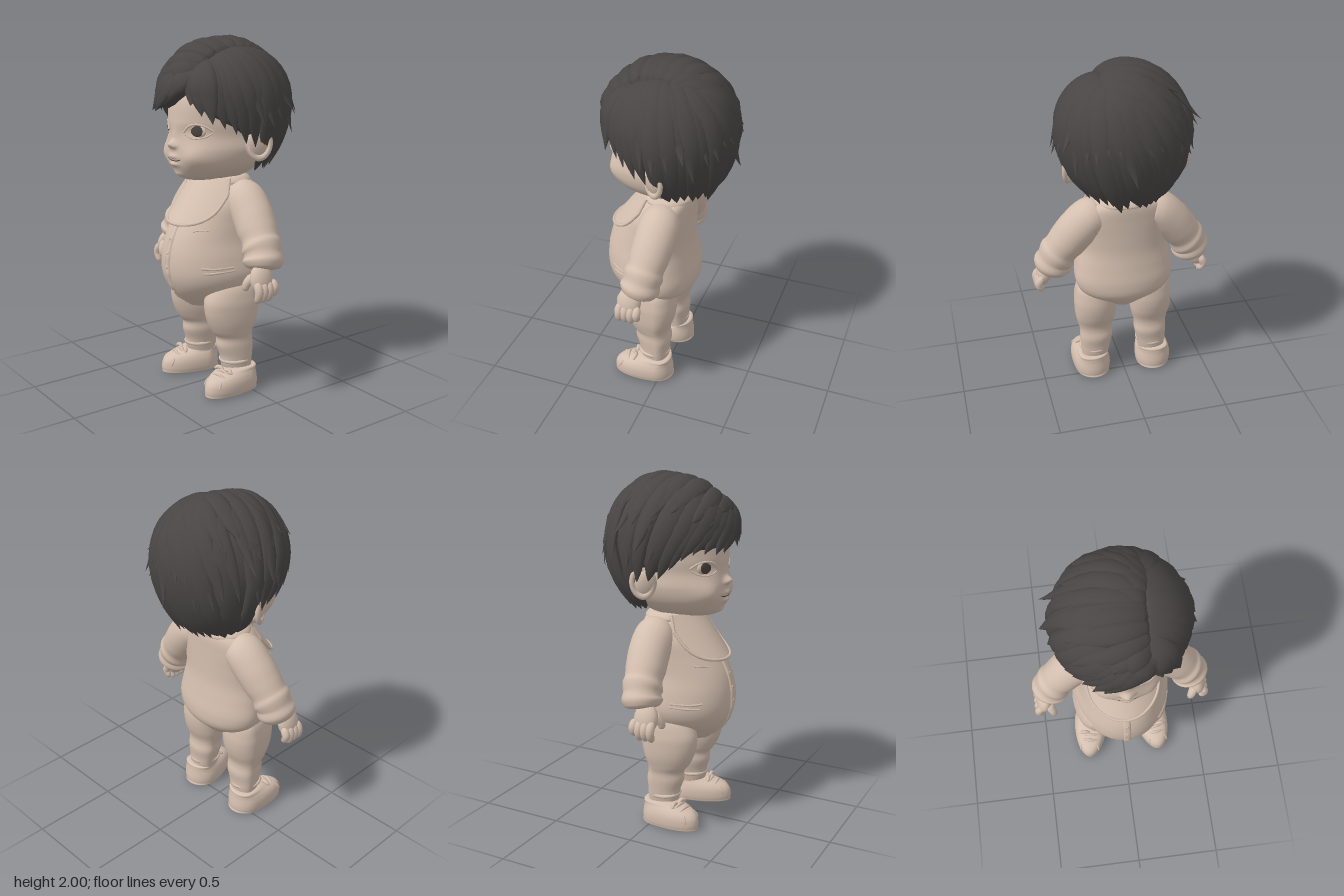
import * as THREE from 'three';
import { mergeVertices } from 'three/addons/utils/BufferGeometryUtils.js';

const V = (x, y, z) => new THREE.Vector3(x, y, z);
const { sin, cos, PI, sqrt, abs, min, max, exp } = Math;
const mat = (name, color, side = THREE.FrontSide) => {
  const m = new THREE.MeshStandardMaterial({ color, side });
  m.name = name;
  return m;
};

// Grid of points f(u, v) with smooth normals
function grid(nu, nv, f) {
  const pos = [], idx = [];
  for (let j = 0; j <= nv; j++) for (let i = 0; i <= nu; i++) pos.push(...f(i / nu, j / nv).toArray());
  for (let j = 0; j < nv; j++) for (let i = 0; i < nu; i++) {
    const a = j * (nu + 1) + i, d = a + nu + 1;
    idx.push(a, a + 1, d + 1, a, d + 1, d);
  }
  let g = new THREE.BufferGeometry();
  g.setAttribute('position', new THREE.Float32BufferAttribute(pos, 3));
  g.setIndex(idx);
  g = mergeVertices(g, 1e-5);
  g.computeVertexNormals();
  return g;
}

// Upright loft; rows run upward: [y, cx, halfWidth, zFront, zBack]; bump pushes the front out
function loft(rows, nu = 40, nv = 60, bump = () => 0) {
  const A = new THREE.CatmullRomCurve3(rows.map(r => V(r[0], r[1], r[2])), false, 'catmullrom', 0.5);
  const B = new THREE.CatmullRomCurve3(rows.map(r => V(r[3], r[4], 0)), false, 'catmullrom', 0.5);
  return grid(nu, nv, (u, v) => {
    const a = A.getPoint(v), b = B.getPoint(v), t = u * 2 * PI;
    const cz = b.x * 0.3 + b.y * 0.7, rz = cos(t) > 0 ? b.x - cz : cz - b.y;
    const x = a.y + a.z * sin(t);
    return V(x, a.x, cz + rz * cos(t) + (cos(t) > 0 ? bump(x, a.x) : 0));
  });
}

// Tube of changing radius with rounded ends; points are [x, y, z, r]
function sweep(pts, nu = 16, nv = 36) {
  const c = new THREE.CatmullRomCurve3(pts.map(p => V(p[0], p[1], p[2])));
  const R = new THREE.SplineCurve(pts.map((p, i) => new THREE.Vector2(i, p[3])));
  const fr = c.computeFrenetFrames(nv);
  return grid(nu, nv, (u, v) => {
    const k = Math.round(v * nv), e = min(v, 1 - v) * nv / 3;
    const r = R.getPoint(v).y * (e < 1 ? sqrt(max(0.0004, 1 - (1 - e) ** 2)) : 1), t = u * 2 * PI;
    return c.getPoint(v).addScaledVector(fr.normals[k], r * cos(t)).addScaledVector(fr.binormals[k], r * sin(t));
  });
}

const table = (rows, x, col) => {
  let i = 0;
  while (i < rows.length - 2 && rows[i + 1][0] < x) i++;
  const t = min(1, max(0, (x - rows[i][0]) / (rows[i + 1][0] - rows[i][0])));
  return rows[i][col] + t * (rows[i + 1][col] - rows[i][col]);
};

const bodyRows = [[0.465, 0, 0.01, 0.13, 0.05], [0.485, 0, 0.06, 0.22, -0.02], [0.55, 0, 0.16, 0.31, -0.09],
  [0.62, 0, 0.255, 0.36, -0.15], [0.7, 0, 0.29, 0.385, -0.16], [0.8, 0, 0.278, 0.385, -0.145],
  [0.9, 0, 0.255, 0.36, -0.13], [1, 0, 0.25, 0.31, -0.127], [1.1, 0, 0.25, 0.25, -0.127],
  [1.18, 0, 0.21, 0.19, -0.127], [1.23, 0, 0.13, 0.15, -0.115], [1.27, 0, 0.1, 0.13, -0.08]];
const headRows = [[1.215, 0, 0.01, 0.15, 0.1], [1.225, 0, 0.1, 0.25, -0.05], [1.26, 0, 0.18, 0.305, -0.12],
  [1.32, 0, 0.245, 0.338, -0.17], [1.4, 0, 0.278, 0.343, -0.22], [1.48, 0, 0.275, 0.333, -0.25],
  [1.56, 0, 0.282, 0.335, -0.27], [1.7, 0, 0.28, 0.31, -0.27], [1.85, 0, 0.18, 0.2, -0.2], [1.92, 0, 0.02, 0.02, -0.02]];
// Face relief, mirrored: [x, y, spreadX, spreadY, height] for cheek, nose, bridge, nostril, socket, lips, chin
const relief = [[0.15, 1.365, 0.065, 0.06, 0.026], [0, 1.43, 0.024, 0.02, 0.034], [0, 1.475, 0.025, 0.035, 0.008],
  [0.026, 1.42, 0.012, 0.012, 0.012], [0.125, 1.51, 0.05, 0.028, -0.01], [0, 1.362, 0.04, 0.012, 0.011],
  [0, 1.318, 0.035, 0.012, 0.014], [0, 1.255, 0.045, 0.02, 0.014]];
const faceBump = (x, y) => relief.reduce((s, [cx, cy, sx, sy, h]) =>
  s + h * exp(-(((abs(x) - cx) / sx) ** 2) - ((y - cy) / sy) ** 2), 0);
const frontZ = (rows, x, y) => {
  const f = table(rows, y, 3), cz = f * 0.3 + table(rows, y, 4) * 0.7;
  return cz + (f - cz) * sqrt(max(0, 1 - (x / table(rows, y, 2)) ** 2));
};
const bodyZ = (x, y) => frontZ(bodyRows, x, y);
const faceZ = (x, y) => frontZ(headRows, x, y) + faceBump(x, y);

// Hairline height by angle from the front, in degrees towards +x
const hairline = [[-180, 1.31], [-104, 1.31], [-97, 1.47], [-88, 1.5], [-80, 1.46], [-66, 1.54], [-52, 1.61], [-15, 1.61],
  [0, 1.64], [19, 1.74], [28, 1.67], [38, 1.61], [50, 1.57], [65, 1.52], [78, 1.46], [88, 1.48], [97, 1.47], [104, 1.31], [180, 1.31]];
const HC = 1.62;
const hairDir = (deg, y) => {
  const dy = (y - HC) / (y > HC ? 0.348 : 0.46), r = sqrt(max(0, 1 - dy * dy)), a = deg * PI / 180;
  return V(r * sin(a), dy, r * cos(a));
};
const hairPoint = (d, k) => {
  const low = d.y < 0 ? 1 - 0.25 * d.y * d.y : 1;
  return V(d.x * 0.355 * k * low, HC + d.y * (d.y > 0 ? 0.348 : 0.46) * k, d.z * (d.z > 0 ? 0.378 : 0.345) * k);
};

// Pointed lock combed over the head from one direction to another, its tip curling out
function lock(d0, d1, width, flare, lift = 1) {
  const at = t => hairPoint(d0.clone().lerp(d1, t).normalize(), 0.94 * lift + 0.08 * sin(PI * min(t * 1.1, 0.72)) + flare * max(0, t) ** 6);
  return grid(10, 20, (u, v) => {
    const p = at(v), T = at(v + 0.01).sub(at(v - 0.01)).normalize();
    const n = V(p.x, p.y - HC, p.z).normalize();
    n.addScaledVector(T, -n.dot(T)).normalize();
    const b = T.clone().cross(n), a = u * 2 * PI;
    const w = width * (0.45 + 0.55 * sin(PI * 0.7 * v)) * max(0.004, 1 - v ** 3) * (v === 0 ? 0.01 : 1);
    return p.addScaledVector(n, 0.45 * w * cos(a)).addScaledVector(b, w * sin(a));
  });
}

export function createModel() {
  const root = new THREE.Group();
  root.name = 'toddlerFigure';
  const skin = mat('skin and cloth', 0xd4bfaf), cloth = mat('cloth panels', 0xd4bfaf, THREE.DoubleSide);
  const hair = mat('dark hair', 0x494545, THREE.DoubleSide), dark = mat('eye brown', 0x4a423e);
  const add = (name, geo, m = skin, p = [0, 0, 0], s = [1, 1, 1], r = [0, 0, 0]) => {
    const o = new THREE.Mesh(geo, m);
    o.name = name;
    o.position.set(...p); o.scale.set(...s); o.rotation.set(...r);
    root.add(o);
  };
  const ball = new THREE.SphereGeometry(1, 20, 14);
  const tube = (pts, r, n = 20) => new THREE.TubeGeometry(new THREE.CatmullRomCurve3(pts), n, r, 7);

  add('romperBody', loft(bodyRows, 56, 80));
  add('head', loft(headRows, 144, 110, faceBump));

  // Bib, its hem and the neck collar
  const bibAt = (u, v) => {
    const x = u * (0.175 + 0.03 * min(1, v * 3)) * (1 - v ** 6) ** 0.4, y = 1.235 - 0.25 * v;
    return V(x, y, 0.35 - (y - 0.985) * 0.75 - 2.4 * x * x);
  };
  add('bib', grid(24, 30, (u, v) => bibAt(u * 2 - 1, 1 - v)), cloth);
  const hem = [];
  for (let i = 0; i <= 14; i++) hem.push(bibAt(-1, sin(i / 14 * PI / 2)));
  for (let i = 13; i >= 0; i--) hem.push(bibAt(1, sin(i / 14 * PI / 2)));
  add('bibHem', tube(hem, 0.009, 80));
  add('collar', grid(48, 12, (u, v) => {
    const a = u * 2 * PI, t = v * 2 * PI, r = 0.012 + 0.024 * cos(t);
    return V((0.15 + r) * sin(a), 1.226 + 0.014 * sin(t) - 0.6 * r, 0.012 + (0.113 + r) * cos(a));
  }));

  // Button strip down the belly
  add('buttonStrip', grid(6, 40, (u, v) => {
    const x = (u * 2 - 1) * 0.026, y = 0.485 + v * 0.51;
    return V(x, y, bodyZ(x, y) + (u === 0 || u === 1 ? -0.008 : 0.009));
  }), cloth);
  for (const y of [0.9, 0.82, 0.74, 0.59]) add('button', ball, skin, [0, y, bodyZ(0, y) + 0.009], [0.009, 0.009, 0.004]);

  for (const s of [1, -1]) {
    const side = s > 0 ? 'left' : 'right';
    const arc = (pts, zAt, r) => tube(pts.map(([x, y]) => V(s * x, y, zAt(x, y) + 0.002)), r);
    const flip = rows => rows.map(([x, ...rest]) => [s * x, ...rest]);

    // Sleeve with soft folds and a gathered cuff
    add(side + 'Sleeve', sweep(flip([[0.12, 1.13, -0.005, 0.095], [0.2, 1.105, 0, 0.116], [0.275, 1.035, 0.005, 0.116], [0.33, 0.965, 0.015, 0.112],
      [0.368, 0.915, 0.022, 0.104], [0.388, 0.88, 0.028, 0.113], [0.403, 0.845, 0.033, 0.105], [0.415, 0.81, 0.04, 0.113],
      [0.427, 0.765, 0.05, 0.088]]), 28, 60));
    // Hand
    add(side + 'Palm', ball, skin, [s * 0.462, 0.73, 0.088], [0.045, 0.085, 0.07], [0, 0, s * 0.25]);
    for (let i = 0; i < 4; i++) {
      const z = 0.03 + i * 0.035, l = i === 0 ? 0.02 : 0;
      add(side + 'Finger', sweep(flip([[0.478, 0.73, z, 0.024], [0.505, 0.675, z, 0.024], [0.497, 0.638 + l, z, 0.021],
        [0.476, 0.612 + l, z, 0.015]]), 10, 14));
    }
    add(side + 'Thumb', sweep(flip([[0.442, 0.75, 0.12, 0.03], [0.42, 0.71, 0.152, 0.025], [0.41, 0.665, 0.16, 0.018]]), 10, 14));

    // Chubby leg, sock and shoe
    add(side + 'Leg', loft([[0.1, 0.178, 0.075, 0.12, -0.03], [0.16, 0.178, 0.083, 0.14, -0.04], [0.21, 0.175, 0.09, 0.145, -0.042],
      [0.27, 0.17, 0.098, 0.165, -0.05], [0.32, 0.17, 0.097, 0.165, -0.042], [0.36, 0.17, 0.106, 0.195, -0.045], [0.42, 0.17, 0.12, 0.225, -0.066],
      [0.49, 0.17, 0.125, 0.243, -0.08], [0.56, 0.168, 0.124, 0.24, -0.08], [0.65, 0.155, 0.11, 0.19, -0.06],
      [0.71, 0.15, 0.01, 0.1, 0.02]].map(r => [r[0], s * r[1], ...r.slice(2)]), 36, 50));
    add(side + 'SockFold', new THREE.TorusGeometry(0.08, 0.011, 8, 32), skin, [s * 0.178, 0.178, 0.05], [1, 1.06, 1], [PI / 2, 0, 0]);
    const shoe = new THREE.Group();
    shoe.name = side + 'Shoe';
    shoe.position.set(s * 0.192, 0, 0.03);
    shoe.rotation.y = s * 0.16;
    const part = (name, geo) => { const m = new THREE.Mesh(geo, skin); m.name = name; shoe.add(m); };
    part('upper', loft([[0, 0, 0.0005, 0.081, 0.08], [0.002, 0, 0.09, 0.24, -0.088], [0.02, 0, 0.105, 0.257, -0.099], [0.05, 0, 0.109, 0.258, -0.1],
      [0.08, 0, 0.107, 0.248, -0.096], [0.105, 0, 0.1, 0.22, -0.092], [0.125, 0, 0.092, 0.165, -0.09], [0.143, 0, 0.085, 0.1, -0.085],
      [0.147, 0, 0.04, 0.05, -0.04]], 40, 40));
    for (let i = 0; i < 2; i++) {
      const y = 0.125 - i * 0.012, z = 0.13 + i * 0.035;
      part('lace', sweep([[-0.065, y - 0.012, z, 0.007], [0, y + 0.012, z + 0.01, 0.009], [0.065, y - 0.012, z, 0.007]], 8, 14));
    }
    for (const k of [1, -1]) part('bowLoop', sweep([[0, 0.135, 0.125, 0.009], [k * 0.04, 0.145, 0.125, 0.012], [k * 0.07, 0.13, 0.135, 0.009]], 8, 12));
    for (let i = -2; i <= 2; i++) part('toePleat', sweep([[i * 0.022, 0.102, 0.212 - abs(i) * 0.008, 0.006], [i * 0.028, 0.082, 0.24 - abs(i) * 0.014, 0.006],
      [i * 0.03, 0.055, 0.254 - abs(i) * 0.014, 0.005]], 6, 10));
    root.add(shoe);

    // Pocket folds and chest pleat
    add(side + 'PocketFold', arc([[0.19, 0.757], [0.23, 0.752], [0.268, 0.757]], bodyZ, 0.007));
    add(side + 'PocketFold', arc([[0.2, 0.727], [0.235, 0.73], [0.272, 0.738]], bodyZ, 0.007));
    add(side + 'ChestPleat', arc([[0.12, 0.955], [0.15, 0.962], [0.18, 0.962]], bodyZ, 0.004));

    // Ear and eye
    add(side + 'Ear', ball, skin, [s * 0.298, 1.43, 0], [0.035, 0.085, 0.06], [0.1, s * -0.5, s * -0.15]);
    add(side + 'EarRim', new THREE.TorusGeometry(0.055, 0.014, 10, 32), skin, [s * 0.318, 1.435, -0.01], [1, 1.35, 1], [0, s * (PI / 2 - 0.5), s * -0.15]);
    const ez = faceZ(0.13, 1.51);
    add(side + 'Eyeball', ball, skin, [s * 0.13, 1.51, ez - 0.005], [0.055, 0.036, 0.014], [0, s * 0.42, 0]);
    add(side + 'Iris', ball, dark, [s * 0.134, 1.511, ez + 0.003], [0.038, 0.032, 0.007], [0, s * 0.42, 0]);
    add(side + 'UpperLid', arc([[0.07, 1.5], [0.1, 1.535], [0.135, 1.546], [0.17, 1.536], [0.197, 1.51]], faceZ, 0.006));
    add(side + 'LowerLid', arc([[0.08, 1.49], [0.105, 1.474], [0.135, 1.469], [0.17, 1.478], [0.195, 1.5]], faceZ, 0.004));
  }

  // Smiling mouth line
  add('mouthLine', tube([[-0.058, 1.35], [-0.03, 1.341], [0, 1.339], [0.03, 1.341], [0.058, 1.35]].map(([x, y]) => V(x, y, faceZ(x, y))), 0.004), dark);

  // Hair cap, tucked in at the hairline
  add('hairCap', grid(120, 30, (u, v) => {
    const deg = u * 360 - 180, e = hairDir(deg, table(hairline, deg, 1)), a = Math.acos(e.y) * (1 - v * 0.999), h = deg * PI / 180;
    return hairPoint(V(sin(a) * sin(h), cos(a), sin(a) * cos(h)), v === 0 ? 0.84 : 0.965);
  }), hair);

  // Combed locks, all starting on the parting and crossing it slightly
  let seed = 7;
  const rnd = () => (seed = (seed * 16807) % 2147483647) / 2147483647;
  const from = deg => {
    const z = max(-0.3, 0.22 + 0.5 * cos(deg * PI / 180));
    const x = 0.35 + (deg > 20 && deg < 175 ? -0.02 : 0.02);
    return V(x, sqrt(1 - x * x - z * z), z);
  };
  for (let i = 0; i < 38; i++) {
    const deg = -180 + i * 360 / 38, front = abs(deg) < 85;
    const y = table(hairline, deg, 1) - 0.005 - 0.04 * rnd() * (front ? 0.25 : 1);
    add('longLock', lock(from(deg), hairDir(deg - (abs(deg) < 15 ? 10 : 0), y), 0.062 + 0.02 * rnd(), 0.02 + 0.06 * rnd(), 0.985 + 0.03 * rnd()), hair);
  }
  for (let i = 0; i < 20; i++) {
    const deg = 82 + i * 10.3 + 5 * rnd(), d = deg > 180 ? deg - 360 : deg;
    add('spikyLock', lock(from(d), hairDir(d, 1.47 + 0.22 * rnd()), 0.046 + 0.02 * rnd(), 0.1 + 0.1 * rnd(), 1 + 0.025 * rnd()), hair);
  }
  for (let i = 0; i < 9; i++) {
    const deg = -150 + i * 17;
    add('crownLock', lock(from(deg), hairDir(deg, 1.68 + 0.16 * rnd()), 0.055 + 0.02 * rnd(), 0.03 + 0.06 * rnd(), 1.01 + 0.02 * rnd()), hair);
  }
  return root;
}
